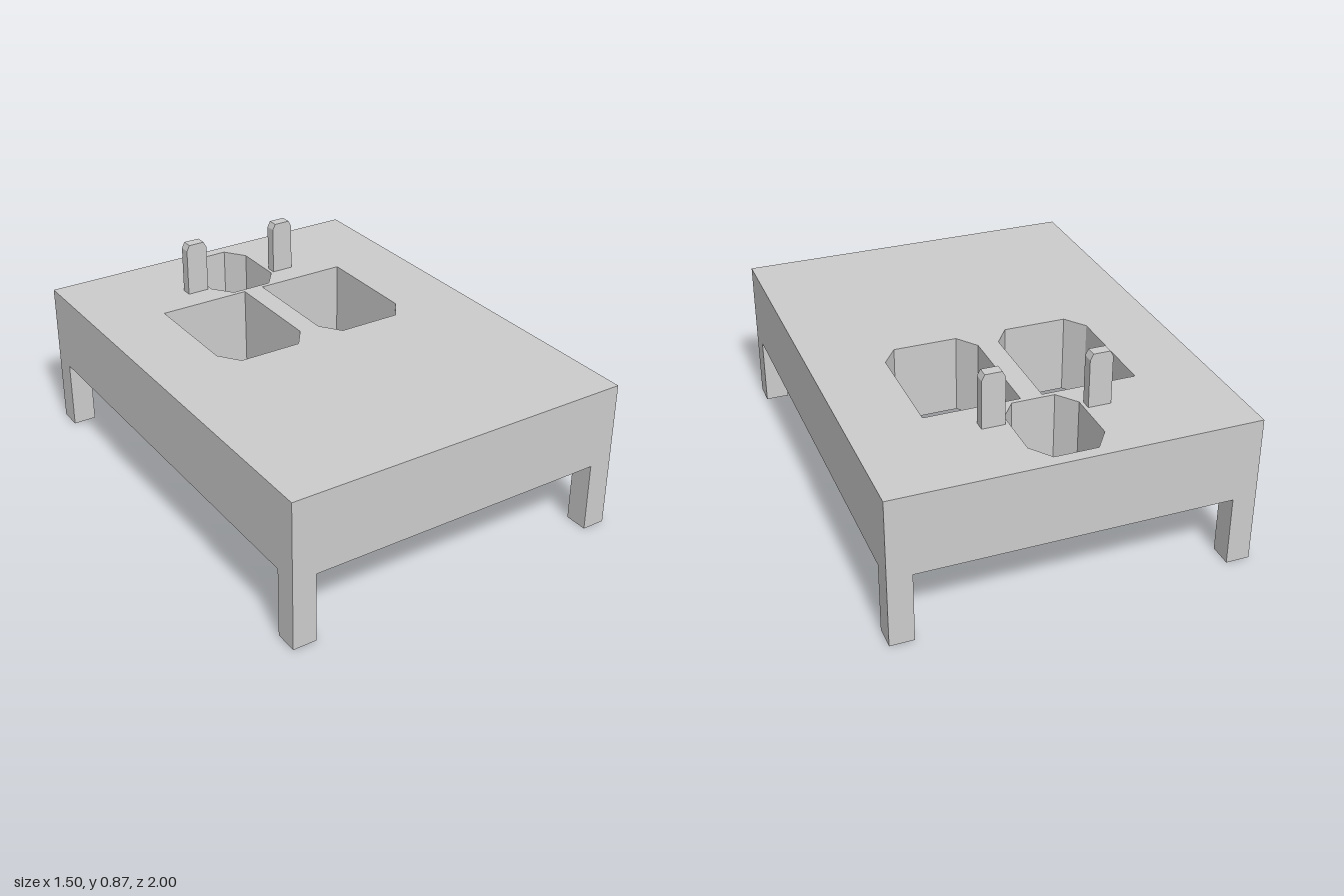
import * as THREE from 'three';

const TOP = 0.64, UNDER = 0.3;

export function createModel() {
  const group = new THREE.Group();
  const material = new THREE.MeshStandardMaterial({ color: 0xcccccc, flatShading: true });
  const add = (name, geometry, x = 0, y = 0, z = 0) => {
    const mesh = new THREE.Mesh(geometry, material);
    mesh.name = name;
    mesh.position.set(x, y, z);
    group.add(mesh);
  };
  const outline = (points) => points.map(([x, y]) => new THREE.Vector2(x, y));

  // Thick top with three cut-outs, drawn in plan (x, -z) and extruded upwards
  const slab = new THREE.Shape(outline([[-0.75, -1], [0.75, -1], [0.75, 1], [-0.75, 1]]));
  const smallHole = [
    [-0.09, 0.545], [-0.155, 0.63], [-0.155, 0.86], [-0.09, 0.95],
    [0.09, 0.95], [0.155, 0.86], [0.155, 0.63], [0.09, 0.545],
  ];
  const largeHole = [
    [0.045, 0.525], [0.445, 0.525], [0.445, 0.065],
    [0.38, -0.025], [0.11, -0.025], [0.045, 0.065],
  ];
  slab.holes.push(new THREE.Path(outline(smallHole)));
  for (const side of [-1, 1]) {
    slab.holes.push(new THREE.Path(outline(largeHole.map(([x, y]) => [side * x, y]))));
  }
  const slabGeometry = new THREE.ExtrudeGeometry(slab, { depth: TOP - UNDER, bevelEnabled: false });
  slabGeometry.rotateX(-Math.PI / 2);
  add('tableTop', slabGeometry, 0, UNDER, 0);

  // Square legs flush with the corners
  for (const x of [-0.7, 0.7]) {
    for (const z of [-0.95, 0.95]) {
      add('leg', new THREE.BoxGeometry(0.1, UNDER, 0.1), x, UNDER / 2, z);
    }
  }

  // Upright pegs with chamfered tops on either side of the small cut-out
  const peg = new THREE.Shape(outline([
    [-0.048, 0], [0.048, 0], [0.048, 0.205], [0.035, 0.23], [-0.035, 0.23], [-0.048, 0.205],
  ]));
  for (const side of [-1, 1]) {
    const geometry = new THREE.ExtrudeGeometry(peg, { depth: 0.046, bevelEnabled: false });
    add(side > 0 ? 'leftPeg' : 'rightPeg', geometry, side * 0.218, TOP, -0.681);
  }
  return group;
}
